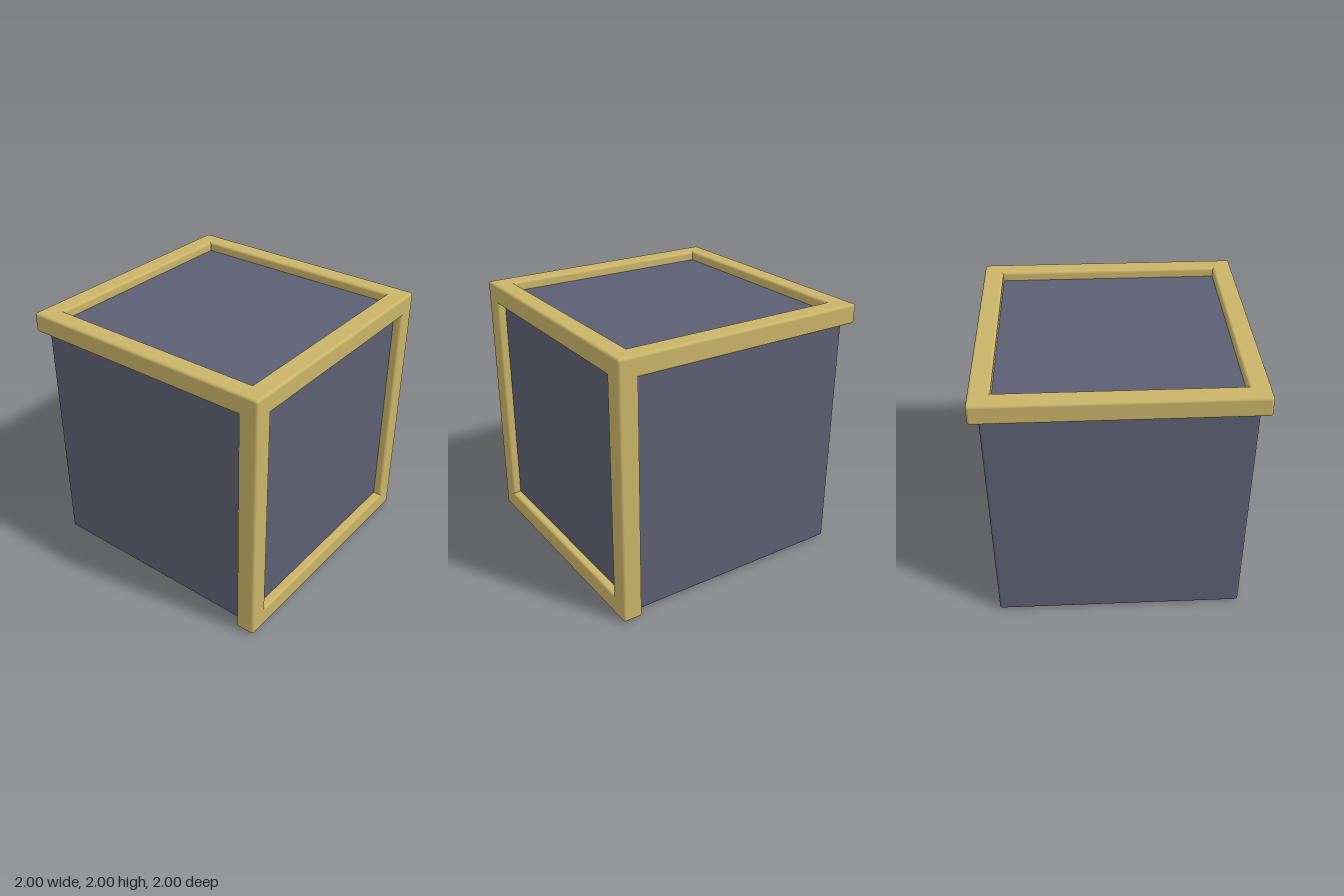
import * as THREE from 'three';
import { RoundedBoxGeometry } from 'three/addons/geometries/RoundedBoxGeometry.js';

export function createModel() {
  const model = new THREE.Group();
  model.name = 'framedCube';

  const gold = new THREE.MeshStandardMaterial({ color: 0xc9b467 });
  gold.name = 'gold';
  const slate = new THREE.MeshStandardMaterial({ color: 0x5c5f72 });
  slate.name = 'slate';

  // Box with softly rounded edges, given by its centre and size
  function block(name, material, size, position, parent, radius = 0.02) {
    const mesh = new THREE.Mesh(new RoundedBoxGeometry(...size, 3, radius), material);
    mesh.name = name;
    mesh.position.set(...position);
    parent.add(mesh);
  }

  // Body, inset behind the frames
  const bottom = 0.008, top = 1.93;
  block('body', slate, [1.87, top - bottom, 1.87], [0, (top + bottom) / 2, 0], model);

  // Frame bars overlap at their corners
  const bar = 0.15;
  const edge = 1 - bar / 2;
  const frame = new THREE.Group();
  frame.name = 'frame';
  model.add(frame);

  // Cross rails: top front, bottom front, top back
  block('frontTopRail', gold, [2, bar, bar], [0, 1 + edge, edge], frame);
  block('frontBottomRail', gold, [2, bar, bar], [0, bar / 2, edge], frame);
  block('backTopRail', gold, [2, bar, bar], [0, 1 + edge, -edge], frame);

  // Front posts and top side rails, mirrored
  for (const [side, s] of [['left', 1], ['right', -1]]) {
    block(side + 'FrontPost', gold, [bar, 2, bar], [s * edge, 1, edge], frame);
    block(side + 'TopRail', gold, [bar, bar, 2], [s * edge, 1 + edge, 0], frame);
  }

  return model;
}
